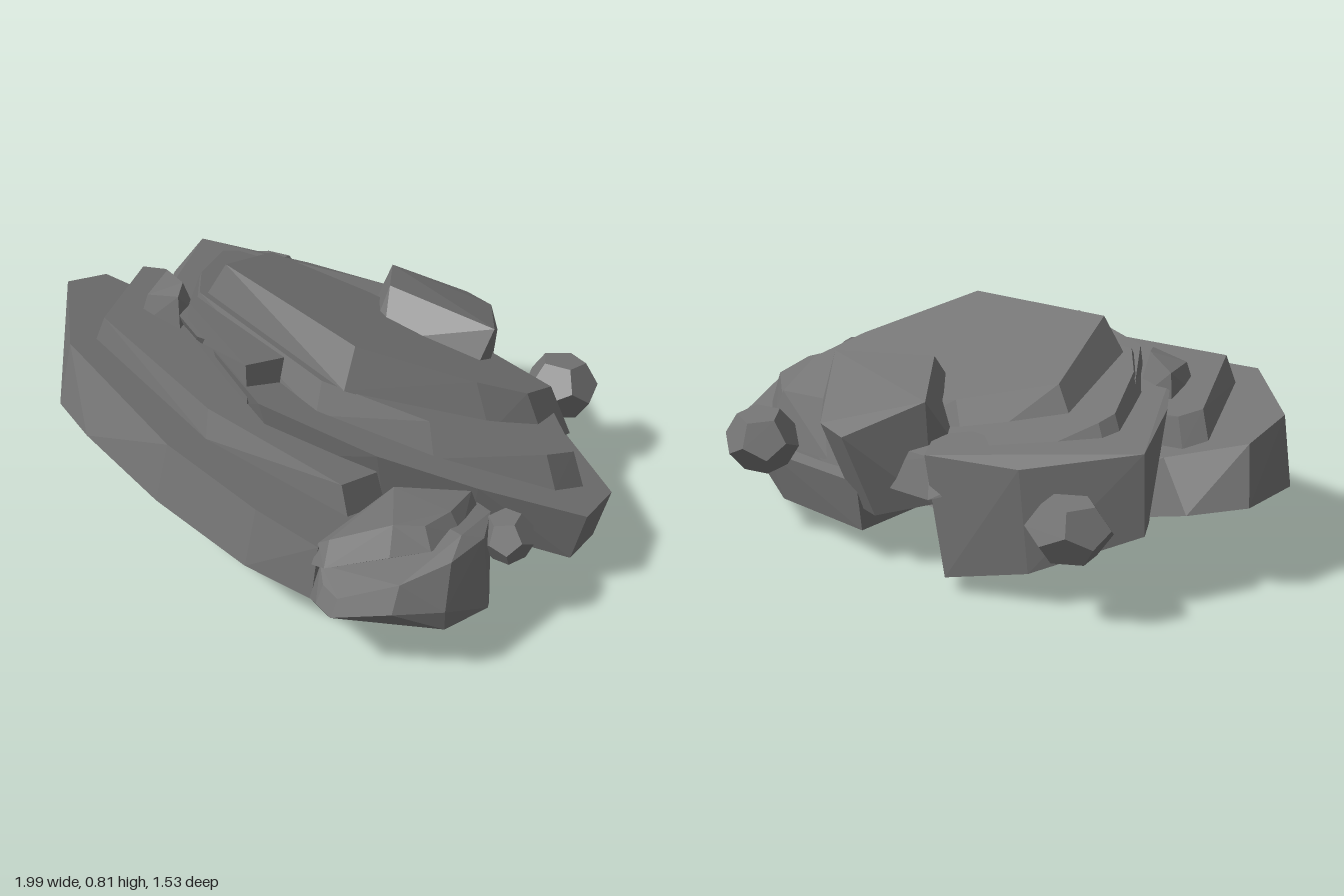
import * as THREE from 'three';
import { ConvexGeometry } from 'three/addons/geometries/ConvexGeometry.js';

const stone = new THREE.MeshStandardMaterial({ color: 0x747474 });
stone.name = 'grey stone';
stone.flatShading = true;

export function createModel() {
  const group = new THREE.Group();
  group.name = 'rockOutcrop';

  // Faceted convex rock through [x, y, z] corners
  function rock(name, corners) {
    const geometry = new ConvexGeometry(corners.map((p) => new THREE.Vector3(...p)));
    const mesh = new THREE.Mesh(geometry, stone);
    mesh.name = name;
    group.add(mesh);
  }

  // Tilted slab: [x, z] outline on the plane y = a + b*x + c*z, with a ring below pushed out by flare
  function slab(name, outline, [a, b, c], thickness, flare) {
    const cx = outline.reduce((s, p) => s + p[0], 0) / outline.length;
    const cz = outline.reduce((s, p) => s + p[1], 0) / outline.length;
    const corners = [];
    for (const [x, z] of outline) {
      corners.push([x, a + b * x + c * z, z]);
      const r = Math.hypot(x - cx, z - cz);
      const bx = x + (x - cx) / r * flare, bz = z + (z - cz) / r * flare;
      corners.push([bx, a + b * bx + c * bz - thickness, bz]);
    }
    rock(name, corners);
  }

  // Front base slab: top edge, overhanging rim, then keel
  const baseTop = [[-0.97, 0.25], [-0.73, 0.11], [0.5, 0.1], [0.57, 0.58],
    [0.35, 0.65], [-0.02, 0.71], [-0.6, 0.67], [-0.95, 0.43]];
  rock('frontBaseSlab', [
    ...baseTop.map(([x, z]) => [x, 0.285 - 0.17 * x + 0.3 * z, z]),
    [-1, 0.32, 0.23], [-0.97, 0.33, 0.45], [-0.6, 0.37, 0.73], [-0.4, 0.36, 0.765],
    [-0.03, 0.295, 0.76], [0.35, 0.22, 0.7], [0.57, 0.17, 0.61],
    [-0.85, 0.28, 0.1], [-0.6, 0.17, 0.2], [-0.3, 0.1, 0.15], [0, 0.045, 0.12],
    [0.5, 0.045, 0.12], [0.4, 0.05, -0.14], [0, 0.05, -0.14], [0.58, 0.07, 0.3],
  ]);
  slab('frontUpperSlab', [[-0.81, 0.2], [-0.77, 0.13], [0, 0.1], [0.49, 0.26],
    [0.5, 0.42], [0, 0.555], [-0.57, 0.545]], [0.46, -0.13, 0.22], 0.1, 0.035);

  // Rear stack, lowest layer split into a deep left block and a thinner right slab
  slab('rearRightSlab', [[0.13, 0.45], [0.5, 0.27], [0.75, 0.06], [0.99, -0.2],
    [0.9, -0.42], [0.53, -0.57], [0, -0.58], [-0.3, 0.1], [-0.2, 0.37]],
  [0.49, -0.1, 0.32], 0.2, -0.05);
  rock('rearLeftBlock', [
    [-0.89, 0.56, -0.13], [-0.6, 0.485, -0.39], [-0.29, 0.475, -0.52], [-0.1, 0.48, -0.3],
    [0.1, 0.52, 0.1], [-0.3, 0.63, 0.36], [-0.56, 0.64, 0.3], [-0.72, 0.6, 0.13],
    [-0.87, 0.27, -0.1], [-0.6, 0.12, -0.35], [-0.34, 0.055, -0.48],
    [-0.12, 0.08, -0.3], [-0.2, 0.08, 0.1], [-0.68, 0.2, 0.1],
  ]);
  slab('middleSlab', [[-0.28, -0.49], [-0.68, -0.13], [-0.69, -0.07], [-0.55, 0.14],
    [-0.42, 0.25], [0.2, 0.24], [0.51, 0.05], [0.79, -0.21], [0.8, -0.33],
    [0.53, -0.5], [0.2, -0.5]], [0.59, -0.08, 0.32], 0.12, 0.045);
  slab('middleLedge', [[-0.57, 0.13], [-0.4, 0.31], [0.02, 0.41], [0.02, 0.1]],
    [0.595, -0.06, 0.25], 0.14, 0.02);
  slab('topSlab', [[-0.49, -0.13], [-0.36, 0.18], [0.25, 0.14], [0.5, -0.17],
    [0.58, -0.33], [0.53, -0.5], [0.2, -0.46], [-0.19, -0.31]],
  [0.715, -0.05, 0.45], 0.16, 0.075);

  // Broken chip on the left shoulder
  rock('shoulderChip', [[-0.64, 0.68, 0.22], [-0.5, 0.71, 0.26], [-0.45, 0.7, 0.32],
    [-0.57, 0.67, 0.36], [-0.65, 0.55, 0.22], [-0.42, 0.55, 0.34], [-0.58, 0.55, 0.4],
    [-0.5, 0.55, 0.2]]);

  // Boulder at the right end: wide lower half with a tilted cap
  rock('rightBoulder', [
    [0.58, 0.3, 0.58], [0.65, 0.29, 0.63], [0.74, 0.3, 0.65], [0.89, 0.38, 0.53],
    [0.95, 0.42, 0.37], [0.9, 0.45, 0.28], [0.83, 0.4, 0.08], [0.75, 0.38, 0.06],
    [0.58, 0.38, 0.24], [0.93, 0.42, 0.21], [0.99, 0.28, 0.43], [0.9, 0.29, 0.57],
    [0.74, 0.24, 0.68], [0.65, 0.23, 0.66], [0.56, 0.17, 0.61], [0.98, 0.2, 0.42],
    [0.97, 0.17, 0.22], [0.88, 0.08, 0.12], [0.75, 0.12, 0.06],
    [0.63, 0, 0.35], [0.5, 0, 0.35], [0.5, 0, 0.21], [0.63, 0, 0.21], [0.44, 0.06, 0.42],
  ]);
  rock('boulderCap', [
    [0.56, 0.37, 0.57], [0.6, 0.4, 0.56], [0.76, 0.49, 0.44], [0.82, 0.48, 0.36],
    [0.81, 0.47, 0.24], [0.74, 0.43, 0.08], [0.56, 0.43, 0.25],
    [0.56, 0.3, 0.6], [0.62, 0.32, 0.6], [0.79, 0.4, 0.48], [0.87, 0.42, 0.38],
    [0.86, 0.41, 0.24], [0.77, 0.36, 0.07], [0.56, 0.32, 0.25],
  ]);

  // Upright block at the back
  rock('backBlock', [
    [-0.05, 0.5, -0.67], [0.08, 0.51, -0.66], [0.34, 0.64, -0.41], [-0.04, 0.69, -0.28],
    [-0.22, 0.62, -0.46], [-0.02, 0.57, -0.19], [0.06, 0.57, -0.16], [0.34, 0.5, -0.32],
    [0.23, 0.53, -0.54], [-0.22, 0.42, -0.32], [-0.05, 0.43, -0.63], [0.08, 0.43, -0.61],
    [-0.06, 0.2, -0.55], [0.06, 0.2, -0.54], [0.3, 0.3, -0.42], [-0.2, 0.25, -0.42],
  ]);

  // Loose stones: centre, half sizes, turn about the vertical
  const stones = [
    [[0.435, 0.35, -0.655], [0.13, 0.12, 0.12], 0.4],
    [[-0.8, 0.34, -0.355], [0.145, 0.12, 0.085], 0.7],
    [[0.91, 0.35, 0.085], [0.09, 0.09, 0.09], 2.0],
  ];
  stones.forEach(([centre, size, turn], i) => {
    const geometry = new THREE.DodecahedronGeometry(1, 0);
    geometry.rotateX(0.4).scale(...size).rotateY(turn).translate(...centre);
    const mesh = new THREE.Mesh(geometry, stone);
    mesh.name = 'looseStone' + (i + 1);
    group.add(mesh);
  });

  return group;
}
